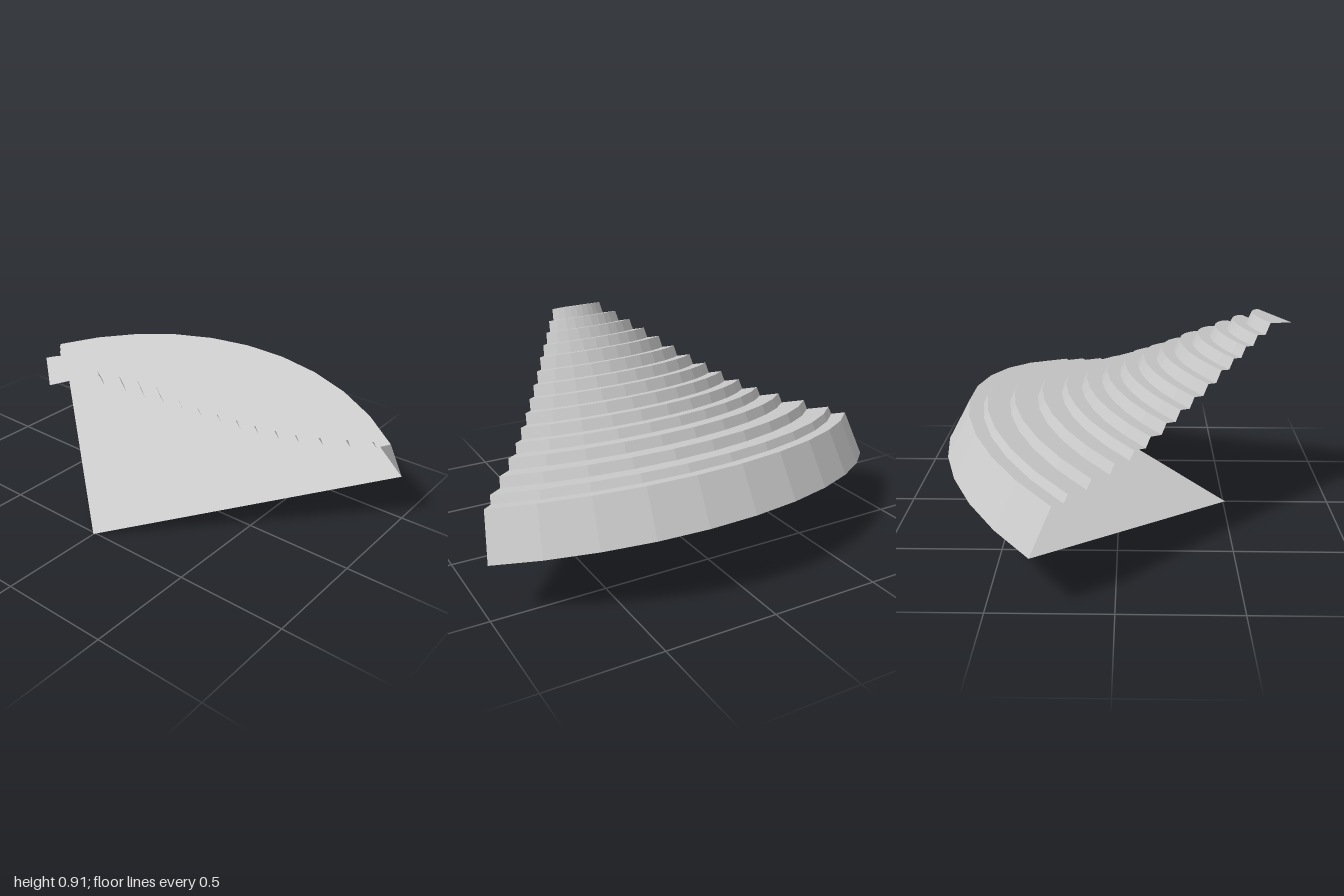
import * as THREE from 'three';

const SEGMENTS = 10;
const RADIUS = 1.408;

// Radius and height of the outer lip of each terrace, from the lowest up
const LIPS = [
  [1.355, 0.21], [1.278, 0.247], [1.162, 0.293], [1.042, 0.34], [0.938, 0.384],
  [0.853, 0.434], [0.769, 0.485], [0.695, 0.537], [0.62, 0.589], [0.545, 0.643],
  [0.475, 0.701], [0.404, 0.752], [0.335, 0.805], [0.267, 0.856], [0.19, 0.911],
];

export function createModel() {
  const material = new THREE.MeshStandardMaterial({
    color: 0xcccccc, flatShading: true, side: THREE.DoubleSide,
  });
  const model = new THREE.Group();
  model.name = 'terracedQuarterCone';

  // Tilted axis of the quarter cone; local x and z run along its two cut edges
  const sector = new THREE.Group();
  sector.name = 'tiltedSector';
  const up = new THREE.Vector3(0.0223, 0.9685, 0.2476).normalize();
  const edge = new THREE.Vector3(-0.757, 0.178, -0.629);
  edge.addScaledVector(up, -edge.dot(up)).normalize();
  const side = new THREE.Vector3().crossVectors(edge, up);
  sector.quaternion.setFromRotationMatrix(new THREE.Matrix4().makeBasis(edge, up, side));
  sector.position.set(0.065, -0.016, 0.565);
  model.add(sector);

  function addPart(name, geometry) {
    const mesh = new THREE.Mesh(geometry, material);
    mesh.name = name;
    sector.add(mesh);
  }

  // Revolve a profile through a quarter turn
  function quarterTurn(points) {
    const profile = points.map(([r, h]) => new THREE.Vector2(r, h));
    return new THREE.LatheGeometry(profile, SEGMENTS, 0, Math.PI / 2);
  }

  // Sloping wall round the outside
  addPart('outerWall', quarterTurn([[RADIUS, 0], LIPS[0]]));

  // Flat treads and slightly leaning risers, ending in the small top platform
  const steps = [LIPS[0]];
  for (let i = 1; i < LIPS.length; i++) {
    const [r, h] = LIPS[i];
    steps.push([r + 0.011, LIPS[i - 1][1]], [r, h]);
  }
  steps.push([0, LIPS[LIPS.length - 1][1]]);
  addPart('terraces', quarterTurn(steps));

  // Thin floor, its point a little way along one cut edge
  const outline = [new THREE.Vector2(0.087, 0)];
  for (let i = 0; i <= SEGMENTS; i++) {
    const a = (i / SEGMENTS) * Math.PI / 2;
    outline.push(new THREE.Vector2(RADIUS * Math.cos(a), RADIUS * Math.sin(a)));
  }
  addPart('floor', new THREE.ShapeGeometry(new THREE.Shape(outline)).rotateX(Math.PI / 2));

  return model;
}
